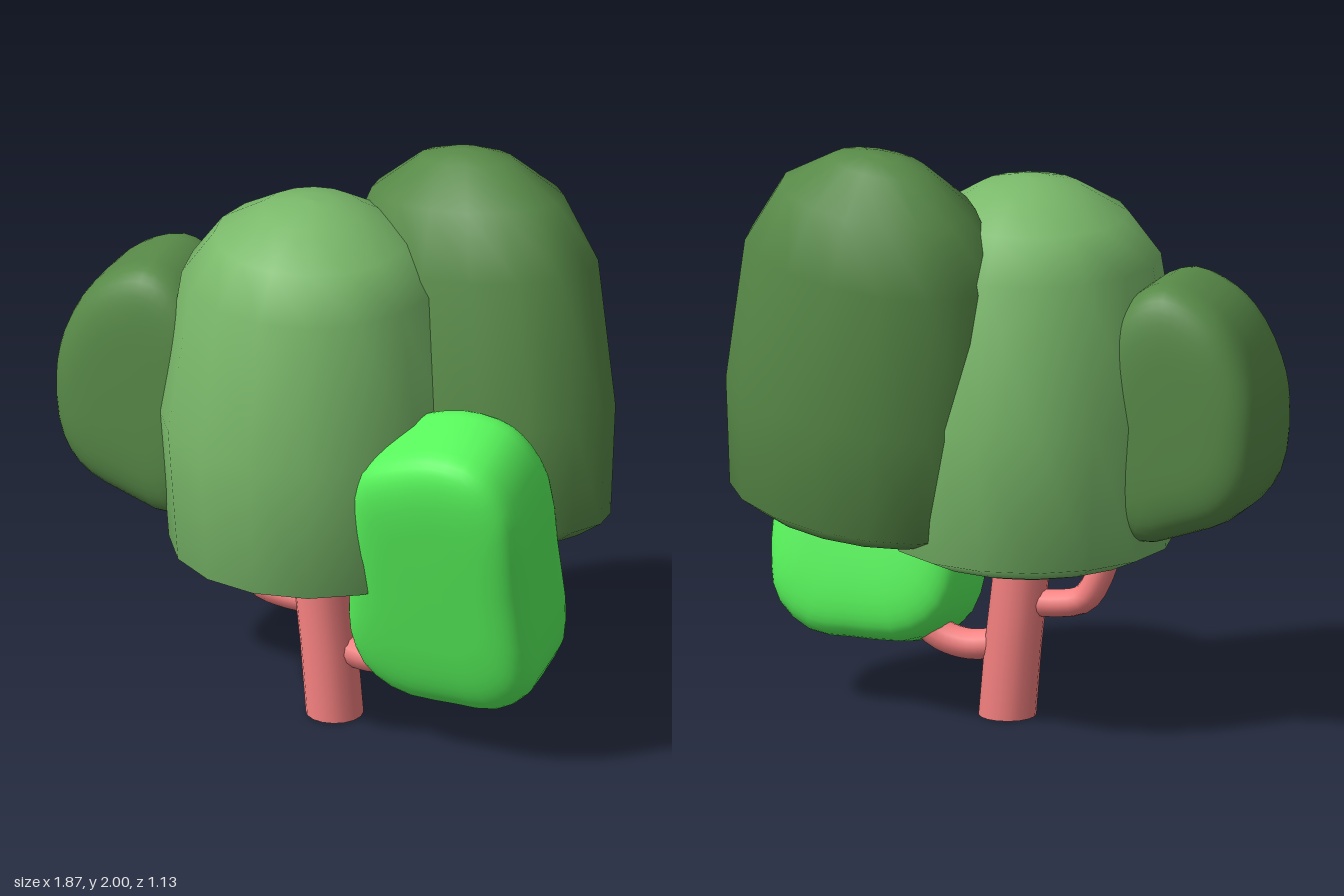
import * as THREE from 'three';
import { mergeVertices } from 'three/addons/utils/BufferGeometryUtils.js';
import { ParametricGeometry } from 'three/addons/geometries/ParametricGeometry.js';

const material = (color) => new THREE.MeshStandardMaterial({ color });

function addMesh(parent, name, geometry, mat) {
  const mesh = new THREE.Mesh(geometry, mat);
  mesh.name = name;
  parent.add(mesh);
  return mesh;
}

// Domed crown centred on its own middle; rings gives [radius, height]
// of the rim, waist, shoulder and brow
function domeGeometry(rings) {
  const profile = [
    [0, -0.675], [0.25, -0.66], [0.37, -0.625], ...rings,
    [0.17, 0.64], [0.07, 0.665], [0, 0.67],
  ].map(([r, y]) => new THREE.Vector2(r, y));
  return new THREE.LatheGeometry(profile, 16);
}

// Pillow-like clump: a smooth closed outline (counterclockwise around the
// origin) shrinking towards rounded front and back faces
function pillowGeometry(outline, depth, power) {
  const curve = new THREE.CatmullRomCurve3(
    outline.map(([x, y]) => new THREE.Vector3(x, y, 0)), true);
  const geometry = new ParametricGeometry((u, v, target) => {
    const t = (v - 0.5) * Math.PI;
    const s = Math.sin(t);
    curve.getPoint(u % 1, target).multiplyScalar(Math.pow(Math.abs(Math.cos(t)), power));
    target.z = Math.sign(s) * Math.pow(Math.abs(s), power) * depth / 2;
  }, 36, 24);
  geometry.deleteAttribute('normal');
  geometry.deleteAttribute('uv');
  const smooth = mergeVertices(geometry, 1e-4);
  smooth.computeVertexNormals();
  return smooth;
}

function tubeGeometry(points, radius) {
  const curve = new THREE.CatmullRomCurve3(points.map((p) => new THREE.Vector3(...p)));
  return new THREE.TubeGeometry(curve, 14, radius, 12, false);
}

export function createModel() {
  const tree = new THREE.Group();
  tree.name = 'tree';
  const bark = material(0xf58080);
  bark.side = THREE.DoubleSide;
  const darkLeaf = material(0x588a48);

  // Leaning open trunk with its foot flat on the ground
  const trunkGeometry = new THREE.CylinderGeometry(0.094, 0.097, 0.75, 16, 3, true);
  trunkGeometry.translate(0, 0.375, 0);
  const position = trunkGeometry.attributes.position;
  for (let i = 0; i < position.count; i++) {
    const y = position.getY(i);
    position.setX(i, position.getX(i) - 0.07 * y - 0.06 * y * y);
  }
  addMesh(tree, 'trunk', trunkGeometry, bark).position.set(0.032, 0, 0.05);

  // Upturned branches
  addMesh(tree, 'rightBranch', tubeGeometry([
    [0, 0.4, 0.05], [-0.14, 0.4, 0.05], [-0.24, 0.425, 0.05],
    [-0.3, 0.52, 0.05], [-0.33, 0.62, 0.05]], 0.048), bark);
  addMesh(tree, 'leftBranch', tubeGeometry([
    [0.03, 0.25, 0.05], [0.17, 0.23, 0.05], [0.28, 0.26, 0.05],
    [0.36, 0.34, 0.05]], 0.053), bark);

  // Main crown
  addMesh(tree, 'centreCrown', domeGeometry(
    [[0.48, -0.575], [0.515, -0.1], [0.437, 0.4], [0.33, 0.545]]), material(0x7ab96a))
    .position.set(-0.05, 1.2, 0.048);

  // Tall flattened crown leaning back
  const backCrown = addMesh(tree, 'backCrown', domeGeometry(
    [[0.46, -0.575], [0.495, -0.2], [0.457, 0.3], [0.345, 0.52]]), darkLeaf);
  backCrown.scale.set(1.01, 1.01, 0.69);
  backCrown.position.set(0.422, 1.325, -0.222);
  backCrown.rotation.set(-0.1, -0.13, 0.1);

  // Side clump tucked into the main crown
  addMesh(tree, 'sideClump', pillowGeometry([
    [-0.31, 0], [-0.285, -0.22], [-0.2, -0.34], [-0.04, -0.41], [0.14, -0.45],
    [0.26, -0.31], [0.29, -0.03], [0.24, 0.27], [0.14, 0.41], [0.03, 0.455],
    [-0.1, 0.41], [-0.2, 0.32], [-0.285, 0.15]], 0.48, 0.43), darkLeaf)
    .position.set(-0.62, 1.13, 0.04);

  // Low bright clump tilted towards the front
  const frontClump = addMesh(tree, 'frontClump', pillowGeometry([
    [0.31, 0.3], [0.25, 0.44], [0.17, 0.51], [0.03, 0.53], [-0.12, 0.49],
    [-0.26, 0.41], [-0.32, 0.2], [-0.35, -0.1], [-0.365, -0.28], [-0.32, -0.43],
    [-0.2, -0.515], [0, -0.525], [0.16, -0.515], [0.28, -0.42], [0.315, -0.28],
    [0.315, 0]], 0.43, 0.39), material(0x58f75c));
  frontClump.position.set(0.54, 0.725, 0.18);
  frontClump.rotation.x = 0.235;

  return tree;
}
